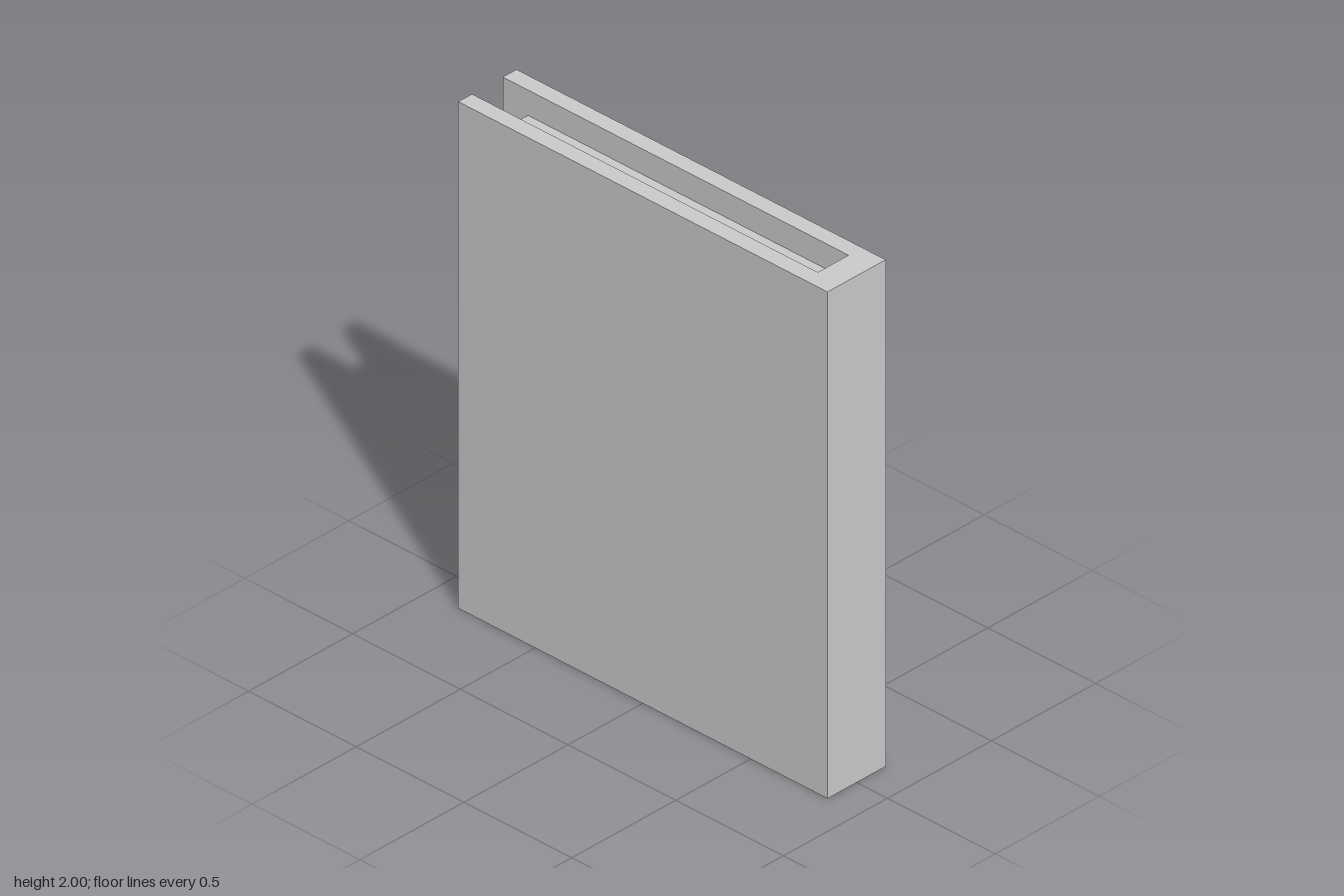
import * as THREE from 'three';

const HEIGHT = 2, HALF_WIDTH = 0.14, HALF_DEPTH = 0.857; // outer size
const INNER = 0.074;      // half width of the slot
const SPINE_INNER = 0.748; // z of the spine's inner face
const BLOCK_BACK = -0.74;  // z of the block's back face
const INSET = 0.1;         // block set in at top and bottom

export function createModel() {
  const group = new THREE.Group();
  const material = new THREE.MeshStandardMaterial({ color: 0xcccccc, flatShading: true });

  // U-shaped cover: two boards joined by a spine at the front (shape y = -z)
  const outline = [
    [-HALF_WIDTH, -HALF_DEPTH], [HALF_WIDTH, -HALF_DEPTH], [HALF_WIDTH, HALF_DEPTH], [INNER, HALF_DEPTH],
    [INNER, -SPINE_INNER], [-INNER, -SPINE_INNER], [-INNER, HALF_DEPTH], [-HALF_WIDTH, HALF_DEPTH],
  ];
  const shape = new THREE.Shape(outline.map(([x, y]) => new THREE.Vector2(x, y)));
  const coverGeometry = new THREE.ExtrudeGeometry(shape, { depth: HEIGHT, bevelEnabled: false });
  coverGeometry.rotateX(-Math.PI / 2);
  const cover = new THREE.Mesh(coverGeometry, material);
  cover.name = 'cover';
  group.add(cover);

  // Page block filling the slot, recessed at top, bottom and back
  const pages = new THREE.Mesh(
    new THREE.BoxGeometry(INNER * 2, HEIGHT - INSET * 2, SPINE_INNER - BLOCK_BACK), material);
  pages.position.set(0, HEIGHT / 2, (SPINE_INNER + BLOCK_BACK) / 2);
  pages.name = 'pageBlock';
  group.add(pages);

  return group;
}
